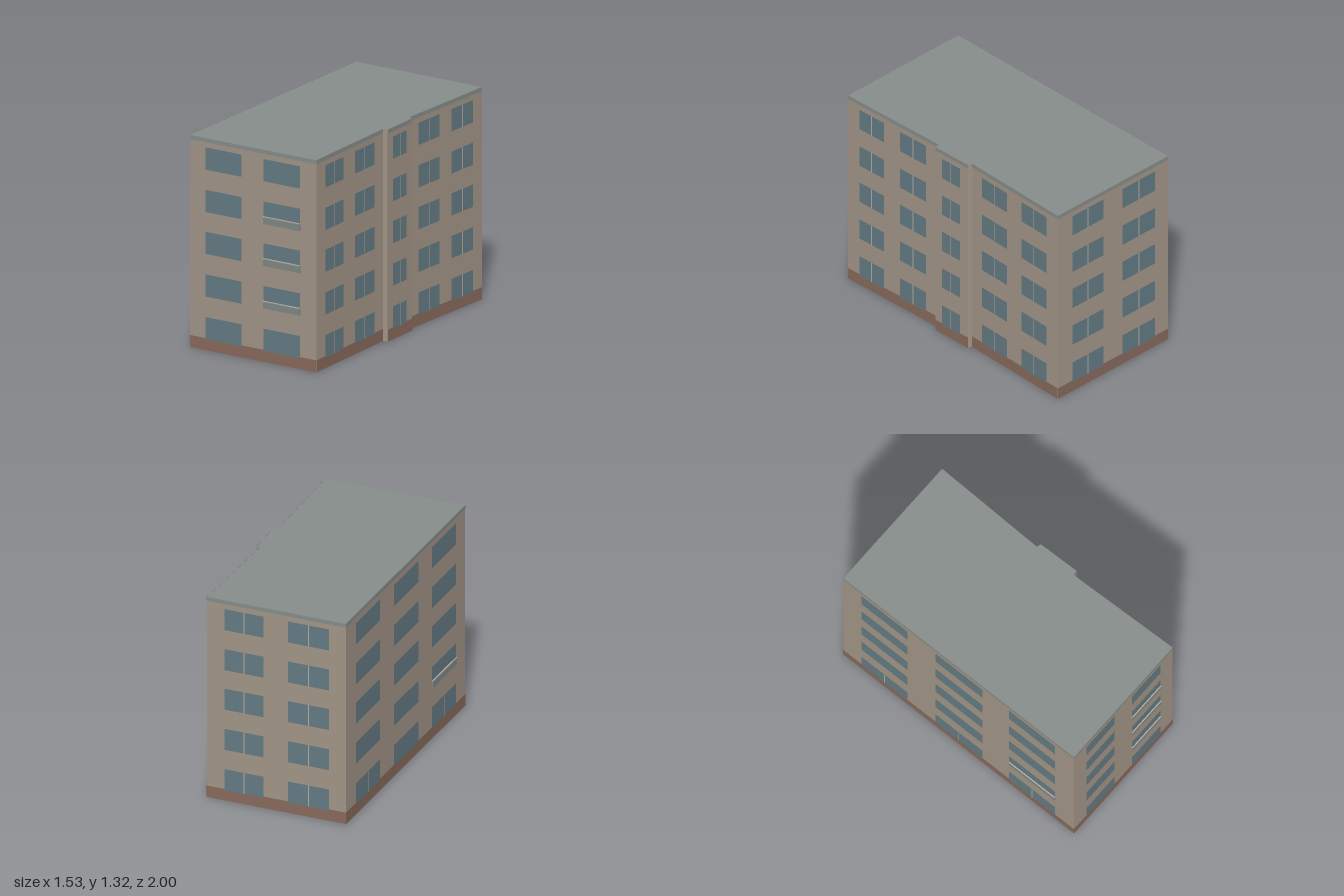
import * as THREE from 'three';

const HEIGHT = 1.315, BASE = 0.075, BAND = 0.025;
const FLOORS = [0.068, 0.333, 0.597, 0.857, 1.12], WINDOW_H = 0.138;

const paint = (color) => new THREE.MeshStandardMaterial({ color, side: THREE.DoubleSide, flatShading: true });
const wallMat = paint(0xa29587), baseMat = paint(0x88695c), glassMat = paint(0x647b83);
const roofMat = paint(0x858d8a), balconyMat = paint(0x7f8986), trimMat = paint(0xb5aca1);

// Plan corners [x, z], anticlockwise seen from above; each starts the wall to the next corner.
// cols: window spans as fractions of the wall; split(floor): window has a mullion;
// balcony(floor, column): window has a parapet; plain: no plinth or roof band.
const always = () => true, never = () => false;
const WALLS = [
  { name: 'frontWall', at: [-0.766, 0.627], cols: [[0.124, 0.408], [0.583, 0.873]],
    split: never, balcony: (f, c) => c === 1 && f >= 1 && f <= 3 },
  { name: 'rightFrontWall', at: [0.06, 0.997], cols: [[0.13, 0.4], [0.576, 0.863]], split: always, balcony: never },
  { name: 'bayFrontStep', at: [0.337, 0.305], cols: [], plain: true },
  { name: 'bayWall', at: [0.367, 0.315], cols: [[0.21, 0.76]], split: always, balcony: never },
  { name: 'bayRearStep', at: [0.469, 0.066], cols: [], plain: true },
  { name: 'rightRearWall', at: [0.448, 0.047], cols: [[0.12, 0.41], [0.58, 0.87]], split: always, balcony: never },
  { name: 'backWall', at: [0.764, -0.627], cols: [[0.13, 0.41], [0.585, 0.88]], split: always, balcony: never },
  { name: 'leftWall', at: [-0.06, -0.998], cols: [[0.08, 0.28], [0.4, 0.605], [0.72, 0.92]],
    split: (f) => f === 0, balcony: (f, c) => f === 1 && c === 2 },
];

// Flat panel in wall coordinates: x along the wall, y up, z outward
function panel(parent, name, mat, x0, x1, y0, y1, z) {
  const mesh = new THREE.Mesh(new THREE.PlaneGeometry(x1 - x0, y1 - y0), mat);
  mesh.position.set((x0 + x1) / 2, (y0 + y1) / 2, z);
  mesh.name = name;
  parent.add(mesh);
}

// Shallow box standing on the wall face
function slab(parent, name, mat, x0, x1, y0, y1, depth) {
  const mesh = new THREE.Mesh(new THREE.BoxGeometry(x1 - x0, y1 - y0, depth), mat);
  mesh.position.set((x0 + x1) / 2, (y0 + y1) / 2, depth / 2);
  mesh.name = name;
  parent.add(mesh);
}

function buildWall(spec, next) {
  const dx = next[0] - spec.at[0], dz = next[1] - spec.at[1];
  const length = Math.hypot(dx, dz);
  const wall = new THREE.Group();
  wall.name = spec.name;
  wall.position.set(spec.at[0], 0, spec.at[1]);
  wall.rotation.y = Math.atan2(-dz, dx);

  panel(wall, 'wallFace', wallMat, 0, length, 0, HEIGHT, 0);
  if (!spec.plain) {
    panel(wall, 'plinth', baseMat, 0, length, 0, BASE, 0.0015);
    panel(wall, 'roofBand', roofMat, 0, length, HEIGHT - BAND, HEIGHT, 0.0015);
  }

  spec.cols.forEach(([a, b], c) => FLOORS.forEach((y, f) => {
    const x0 = a * length, x1 = b * length, mid = (x0 + x1) / 2;
    panel(wall, 'window', glassMat, x0, x1, y, y + WINDOW_H, 0.003);
    if (spec.split(f)) panel(wall, 'mullion', trimMat, mid - 0.003, mid + 0.003, y, y + WINDOW_H, 0.0045);
    if (spec.balcony(f, c)) {
      slab(wall, 'balconyParapet', balconyMat, x0, x1, y, y + 0.042, 0.009);
      slab(wall, 'balconyRail', trimMat, x0, x1, y + 0.042, y + 0.047, 0.01);
    }
  }));
  return wall;
}

export function createModel() {
  const building = new THREE.Group();
  building.name = 'apartmentBlock';
  WALLS.forEach((spec, i) => building.add(buildWall(spec, WALLS[(i + 1) % WALLS.length].at)));

  // Flat roof filling the plan outline
  const outline = new THREE.Shape(WALLS.map(({ at }) => new THREE.Vector2(at[0], -at[1])));
  const roof = new THREE.Mesh(new THREE.ShapeGeometry(outline).rotateX(-Math.PI / 2), roofMat);
  roof.position.y = HEIGHT;
  roof.name = 'roof';
  building.add(roof);
  return building;
}
